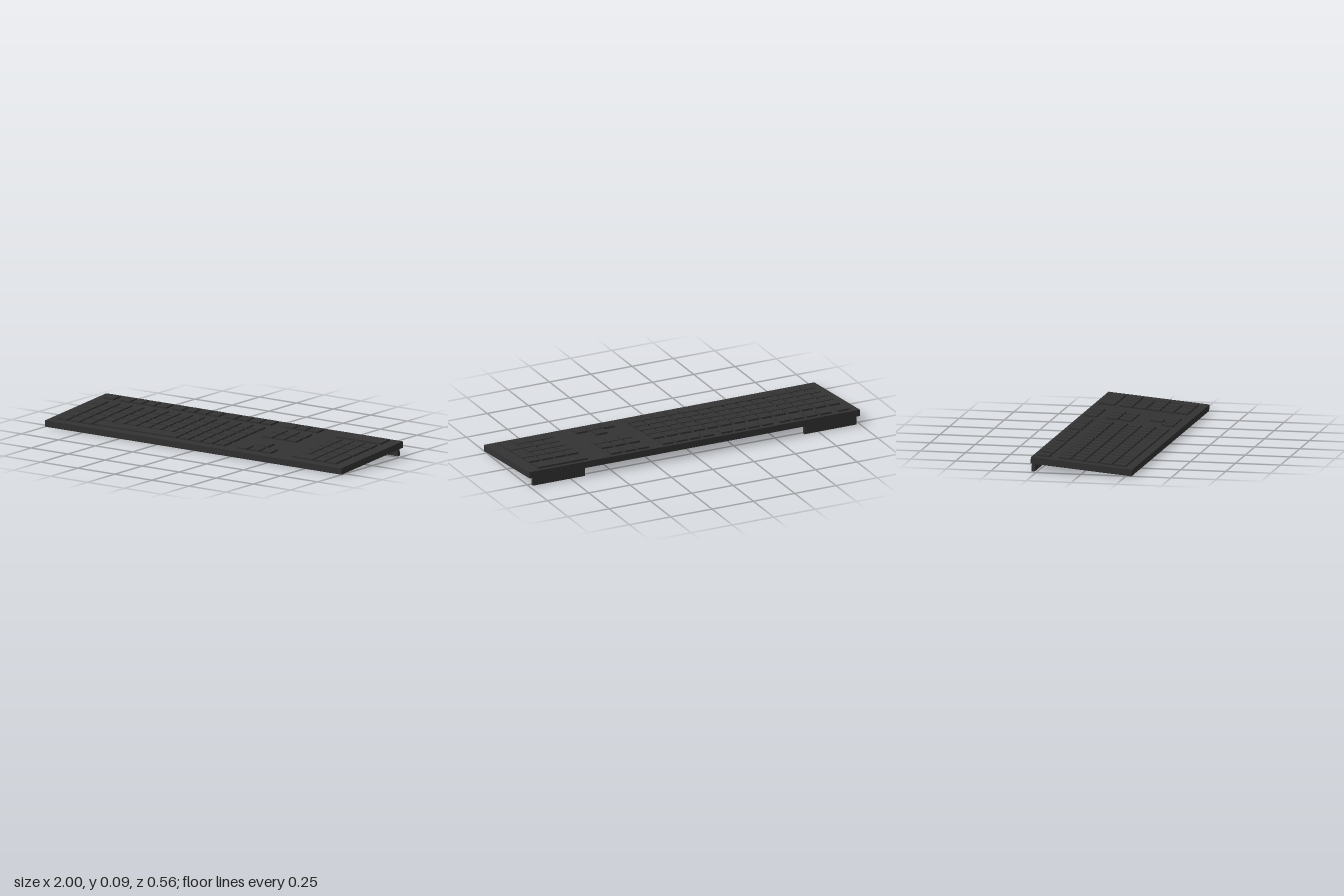
import * as THREE from 'three';

const THICK = 0.036, DEPTH = 0.564, KEY = 0.067, KEY_H = 0.01;
const PITCH_X = 0.0817, PAD_PITCH = 0.0777, FIRST_X = -0.916;
const ROW_Z = [-0.107, -0.0295, 0.048, 0.1255, 0.203]; // main key rows, back to front
const TOP_ROW_Z = -0.223;

export function createModel() {
  const group = new THREE.Group();
  group.name = 'keyboard';
  const material = new THREE.MeshStandardMaterial({ color: 0x333333 });

  // Everything sits in one tilted frame, raised at the back
  const board = new THREE.Group();
  board.name = 'tiltedBoard';
  board.rotation.x = THREE.MathUtils.degToRad(5);
  board.position.set(0, 0.0425, 0.001);
  group.add(board);

  const box = (name, w, h, d, x, y, z) => {
    const mesh = new THREE.Mesh(new THREE.BoxGeometry(w, h, d), material);
    mesh.name = name;
    mesh.position.set(x, y, z);
    board.add(mesh);
  };
  // Keys sink slightly into the case
  const key = (name, x, z, w = KEY, d = KEY) => {
    const sink = 0.004;
    box(name, w, KEY_H + sink, d, x, THICK / 2 + (KEY_H - sink) / 2, z);
  };

  box('case', 2, THICK, DEPTH, 0, 0, 0);

  // Rear feet
  for (const [name, side] of [['leftFoot', 1], ['rightFoot', -1]])
    box(name, 0.315, 0.047, 0.019, side * 0.822, -THICK / 2 - 0.0225, -0.268);

  // Top row: escape, then three groups of four
  key('escapeKey', FIRST_X, TOP_ROW_Z);
  for (const start of [-0.808, -0.455, -0.099])
    for (let i = 0; i < 4; i++) key('topRowKey', start + i * PITCH_X, TOP_ROW_Z);

  // Main block: four full rows, then the space bar row
  const mainX = (c) => FIRST_X + c * PITCH_X;
  ROW_Z.forEach((z, row) => {
    for (let c = 0; c < 14; c++)
      if (row < 4 || c < 3 || c > 9) key('mainKey', mainX(c), z);
  });
  key('spaceBar', mainX(6), ROW_Z[4], 6 * PITCH_X + KEY);

  // Navigation keys and arrows
  const navX = [0.296, 0.377, 0.458];
  for (const x of navX) {
    for (const z of [TOP_ROW_Z, ROW_Z[0], ROW_Z[1]]) key('navigationKey', x, z);
    key('arrowKey', x, ROW_Z[4]);
  }
  key('arrowKey', navX[1], ROW_Z[3]);

  // Number pad with tall keys on its outer column and a wide zero
  const padX = (c) => 0.666 + c * PAD_PITCH;
  for (let row = 0; row < 4; row++)
    for (let c = 0; c < (row === 0 ? 4 : 3); c++) key('padKey', padX(c), ROW_Z[row]);
  const tall = ROW_Z[1] - ROW_Z[0] + KEY;
  key('padPlusKey', padX(3), (ROW_Z[1] + ROW_Z[2]) / 2, KEY, tall);
  key('padEnterKey', padX(3), (ROW_Z[3] + ROW_Z[4]) / 2, KEY, tall);
  key('padZeroKey', padX(0.5), ROW_Z[4], PAD_PITCH + KEY);
  key('padPointKey', padX(2), ROW_Z[4]);

  // Indicator panel above the number pad
  key('indicatorPanel', padX(1.5), -0.2135, 3 * PAD_PITCH + KEY, 0.086);

  return group;
}
